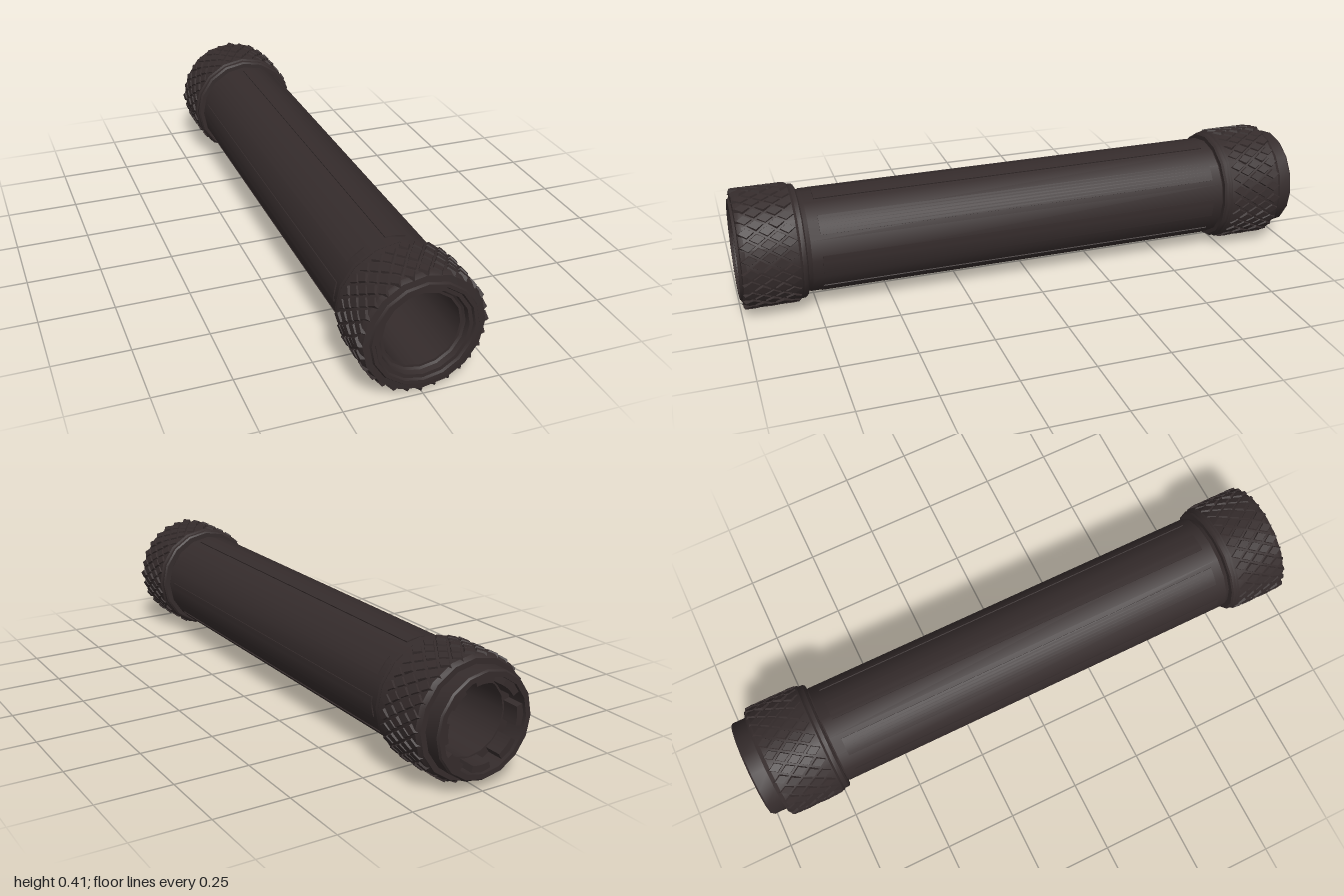
import * as THREE from 'three';
import { mergeGeometries, toCreasedNormals } from 'three/addons/utils/BufferGeometryUtils.js';

const SIDES = 16;
const AXIS_Y = 0.206;

// Closed ring turned about z; profile pairs are [radius, z], outside first with z rising
function turned(profile) {
  const pts = [...profile, profile[0]].map(([r, z]) => new THREE.Vector2(r, z));
  const geo = new THREE.LatheGeometry(pts, SIDES).rotateX(Math.PI / 2);
  return toCreasedNormals(geo, 0.45);
}

// Curved block between two radii and two angles
function arcBlock(r0, r1, a0, a1, z0, z1) {
  const s = new THREE.Shape();
  s.absarc(0, 0, r1, a0, a1, false);
  s.absarc(0, 0, r0, a1, a0, true);
  return new THREE.ExtrudeGeometry(s, { depth: z1 - z0, bevelEnabled: false, curveSegments: 3 })
    .translate(0, 0, z0);
}

// Staggered rows of raised diamonds around a collar
function knurling(z0, rows) {
  const count = 28, pitch = 0.033, step = (Math.PI * 2) / count;
  const facet = (Math.PI * 2) / SIDES;
  const parts = [];
  for (let row = 0; row < rows; row++) {
    for (let i = 0; i < count; i++) {
      const a = (i + (row % 2) / 2) * step;
      // Follow the flat sides of the collar
      const off = a - (Math.floor(a / facet) + 0.5) * facet;
      const r = (0.199 * Math.cos(facet / 2)) / Math.cos(off);
      parts.push(new THREE.CylinderGeometry(0.78, 1, 0.012, 4)
        .scale(0.02, 1, 0.03)
        .translate(0, r - 0.0005, z0 + row * pitch)
        .rotateZ(a));
    }
  }
  return toCreasedNormals(mergeGeometries(parts), 0.2);
}

export function createModel() {
  const model = new THREE.Group();
  const tube = new THREE.Group();
  tube.name = 'tube';
  tube.position.y = AXIS_Y;
  model.add(tube);

  const darkMetal = new THREE.MeshStandardMaterial({ color: 0x352c2c });
  darkMetal.name = 'dark metal';

  const add = (name, geo) => {
    const mesh = new THREE.Mesh(geo, darkMetal);
    mesh.name = name;
    tube.add(mesh);
  };

  // Long hollow barrel with bevelled shoulders
  add('barrel', turned([
    [0.165, -0.93], [0.165, -0.73], [0.175, -0.715], [0.175, 0.765],
    [0.165, 0.785], [0.165, 0.97], [0.122, 0.97], [0.122, -0.93],
  ]));

  // Shallow raised panels along the barrel
  const panels = [];
  for (let i = 0; i < 8; i++) {
    const mid = THREE.MathUtils.degToRad(39 + i * 45), half = 0.19;
    panels.push(arcBlock(0.165, 0.1762, mid - half, mid + half, -0.68, 0.73));
  }
  add('barrelPanels', toCreasedNormals(mergeGeometries(panels), 0.45));

  // Front collar with a stepped mouth
  add('frontCollar', turned([
    [0.16, 0.78], [0.188, 0.78], [0.194, 0.785], [0.194, 0.798], [0.199, 0.806],
    [0.199, 0.975], [0.192, 0.99], [0.172, 0.992], [0.168, 1.0], [0.157, 1.0],
    [0.153, 0.992], [0.141, 0.992], [0.137, 0.975], [0.123, 0.965], [0.123, 0.8],
  ]));
  add('frontKnurling', knurling(0.832, 5));

  // Rear collar
  add('rearCollar', turned([
    [0.157, -0.944], [0.19, -0.944], [0.199, -0.93], [0.199, -0.747],
    [0.194, -0.74], [0.194, -0.727], [0.188, -0.72], [0.157, -0.72],
  ]));
  add('rearKnurling', knurling(-0.91, 5));

  // Rear lip with a ring of teeth inside
  add('rearLip', turned([
    [0.15, -1.0], [0.167, -1.0], [0.172, -0.994], [0.172, -0.93], [0.15, -0.93],
  ]));
  const teeth = [];
  for (let i = 0; i < 8; i++) {
    const mid = (i * Math.PI) / 4;
    teeth.push(arcBlock(0.126, 0.154, mid - 0.24, mid + 0.24, -0.988, -0.925));
  }
  add('rearTeeth', toCreasedNormals(mergeGeometries(teeth), 0.45));

  return model;
}
